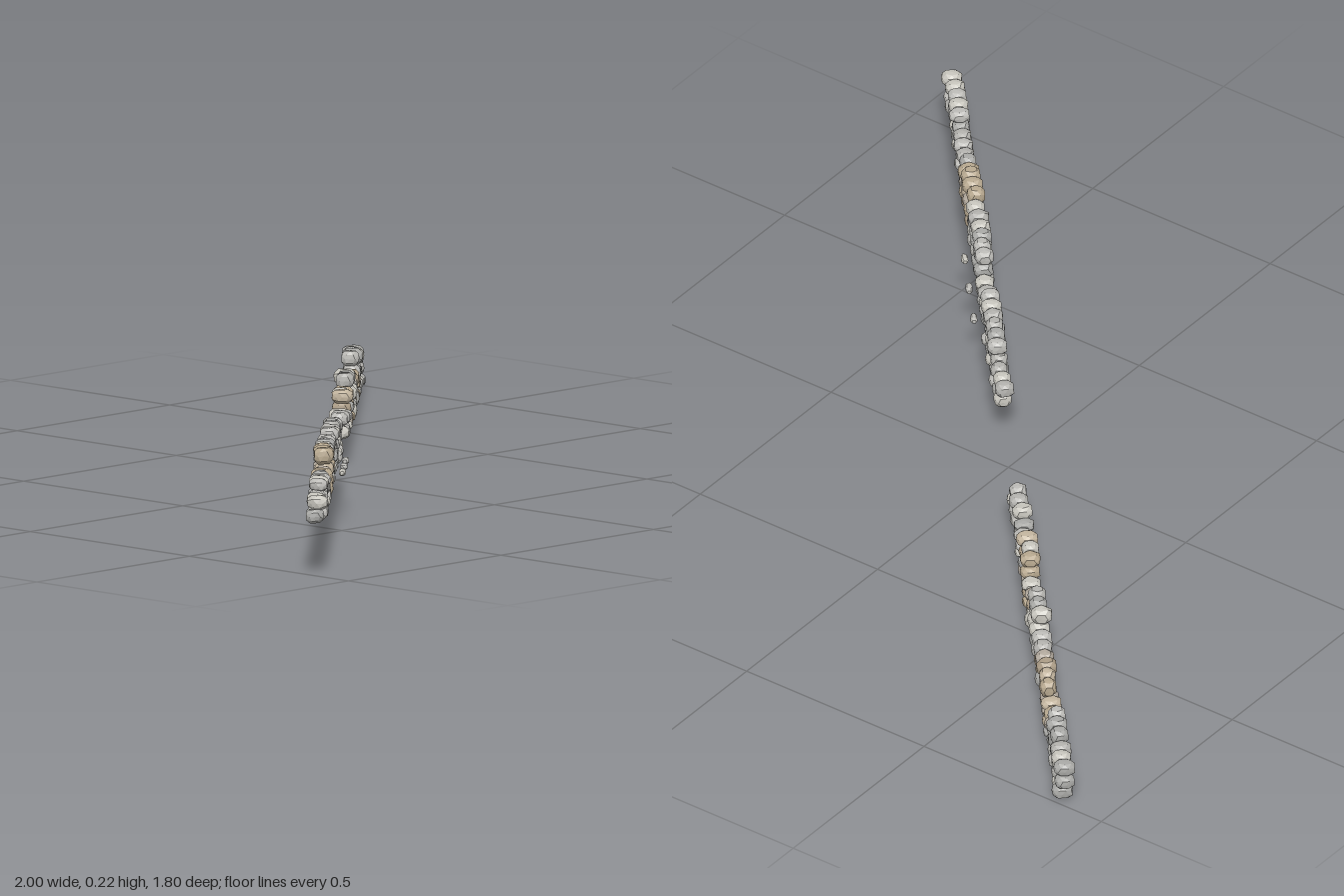
import * as THREE from 'three';

// Small seeded random source
function seeded(seed) {
  let s = seed;
  return () => (s = (s * 16807) % 2147483647) / 2147483647;
}

const STEP = 0.0828; // section length along x
const SLOPE = -0.897; // wall line: z = SLOPE * x
const ANGLE = Math.atan(-SLOPE);
const LENGTH = STEP * Math.hypot(1, SLOPE); // section length along the wall
const DEPTH = 0.042;
const GREYS = [0xbcbbb7, 0xa9a9a6, 0xc6c4bc, 0xb2b1ad];
const BROWNS = [0xb8a990, 0xab9c86, 0xc2b49e, 0xb3aa9e];

// Sections in order: [courses, height, ground height, brown?]
const WALLS = [
  { name: 'rightWall', x: -0.992, sections: [
    [2, 0.06, 0.121, 0], [3, 0.083, 0.12, 0], [2, 0.055, 0.119, 0], [2, 0.066, 0.117, 1],
    [3, 0.103, 0.115, 1], [3, 0.092, 0.112, 0], [3, 0.094, 0.109, 0], [2, 0.05, 0.105, 0],
    [3, 0.09, 0.1, 0], [3, 0.093, 0.094, 0], [2, 0.063, 0.087, 0]] },
  { name: 'leftWall', x: 0.16, sections: [
    [2, 0.058, 0.058, 0], [2, 0.044, 0.052, 0], [3, 0.086, 0.047, 1], [2, 0.048, 0.04, 1],
    [3, 0.102, 0.034, 0], [2, 0.07, 0.029, 1], [2, 0.075, 0.024, 1], [2, 0.052, 0.018, 1],
    [3, 0.102, 0.012, 0], [3, 0.093, 0.005, 0]] },
];

// Rounded block with a few knocked-in facets, about 1 unit on each side
function stoneGeometry(rand) {
  const geometry = new THREE.IcosahedronGeometry(1, 1);
  const p = geometry.attributes.position;
  const v = new THREE.Vector3();
  const phase = rand() * 6;
  for (let i = 0; i < p.count; i++) {
    v.fromBufferAttribute(p, i).normalize();
    const n = 3.2;
    const norm = (Math.abs(v.x) ** n + Math.abs(v.y) ** n + Math.abs(v.z) ** n) ** (1 / n);
    const bump = 1 + 0.07 * Math.sin(4 * v.x + phase) * Math.cos(5 * v.z + 3 * v.y + phase);
    v.multiplyScalar((0.53 * bump) / norm);
    p.setXYZ(i, v.x, v.y, v.z);
  }
  geometry.computeVertexNormals();
  return geometry;
}

export function createModel() {
  const model = new THREE.Group();
  model.name = 'dryStoneWalls';
  const rand = seeded(4271);
  const shapes = Array.from({ length: 6 }, () => stoneGeometry(rand));
  const toMaterial = (color) => new THREE.MeshStandardMaterial({ color, flatShading: true });
  const greys = GREYS.map(toMaterial);
  const browns = BROWNS.map(toMaterial);
  const pick = (list) => list[Math.floor(rand() * list.length)];

  function addStone(parent, name, size, position, palette) {
    const stone = new THREE.Mesh(pick(shapes), pick(palette));
    stone.name = name;
    stone.scale.set(...size);
    stone.position.set(...position);
    stone.rotation.set((rand() - 0.5) * 0.12, (rand() - 0.5) * 0.24, (rand() - 0.5) * 0.1);
    parent.add(stone);
    return stone;
  }

  // Two wall runs, built section by section in courses
  for (const { name, x, sections } of WALLS) {
    const wall = new THREE.Group();
    wall.name = name;
    sections.forEach(([courses, height, ground, brown], i) => {
      const section = new THREE.Group();
      section.name = 'wallSection';
      const cx = x + (i + 0.5) * STEP;
      section.position.set(cx, ground, cx * SLOPE);
      section.rotation.y = ANGLE;
      const width = LENGTH / 3;
      const rise = height / courses;
      const next = sections[Math.min(i + 1, sections.length - 1)];
      const fall = (next[2] - ground) / LENGTH;
      for (let row = 0; row < courses; row++) {
        for (let k = -1; k <= 1; k++) {
          const along = (k + (row % 2 ? 0.1 : -0.1)) * width;
          addStone(section, 'wallStone',
            [width * (0.96 + rand() * 0.1), rise * (0.98 + rand() * 0.1), DEPTH * (0.84 + rand() * 0.26)],
            [along, (row + 0.5) * rise + fall * along, (rand() - 0.5) * 0.007],
            brown && rand() < 0.75 ? browns : greys);
        }
      }
      wall.add(section);
    });
    model.add(wall);
  }

  // Loose stones fallen beside the wall
  for (const [x, y, z] of [[-0.46, 0.128, 0.463], [-0.378, 0.123, 0.39], [-0.295, 0.118, 0.315]]) {
    const stone = addStone(model, 'fallenStone', [0.03, 0.014, 0.015], [x, y, z], greys);
    stone.rotation.y += ANGLE;
  }
  return model;
}
